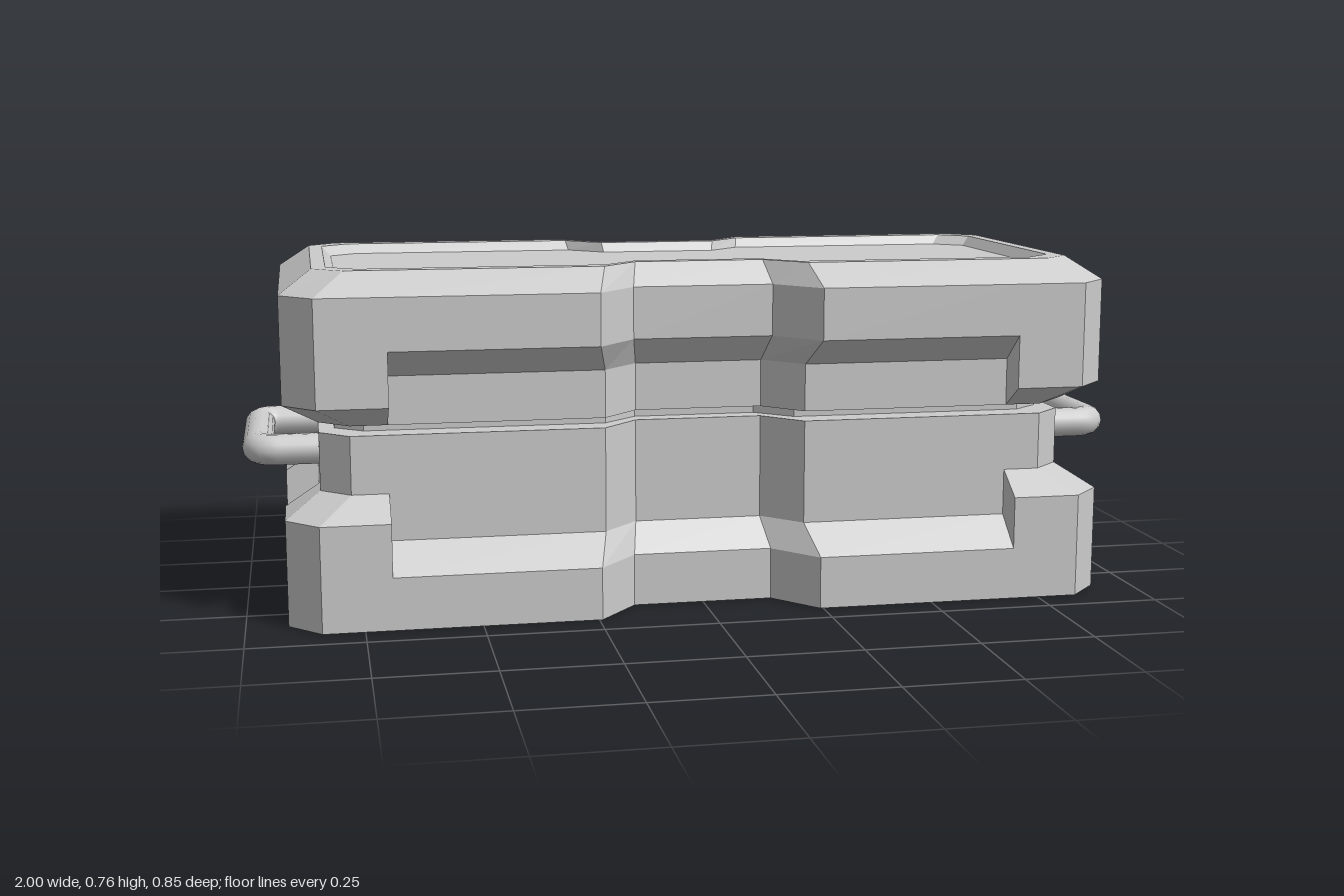
import * as THREE from 'three';

const metal = new THREE.MeshStandardMaterial({ color: 0xcccccc, flatShading: true });
const smooth = new THREE.MeshStandardMaterial({ color: 0xcccccc });

// One quarter of the outline: x, z, inside a notch?, axis kept fixed (notch edges)
const quarter = [
  [0.91, 0.2, true, 'z'], [0.91, 0.2, false, 'z'],
  [0.91, 0.35, false], [0.84, 0.425, false],
  [0.69, 0.425, false, 'x'], [0.69, 0.425, true, 'x'],
  [0.243, 0.425, true], [0.155, 0.32, true],
];

// Full outline, mirrored into four quarters
function outline() {
  const columns = [];
  for (const [sx, sz] of [[1, 1], [-1, 1], [-1, -1], [1, -1]]) {
    const part = quarter.map(([x, z, notched, fixed]) => ({ x: x * sx, z: z * sz, notched, fixed }));
    columns.push(...(sx * sz > 0 ? part : part.reverse()));
  }
  return columns;
}

// Profile rows run bottom to top: [x scale, z scale, y]; a zero scale closes the shape
function loft(name, plain, notched = plain) {
  const columns = outline().map((c) => (c.notched ? notched : plain).map(([sx, sz, y]) =>
    new THREE.Vector3(
      c.x * (c.fixed === 'x' && sx ? 1 : sx), y,
      c.z * (c.fixed === 'z' && sz ? 1 : sz))));
  const positions = [];
  const normal = new THREE.Vector3();
  const addTriangle = (a, b, c) => {
    THREE.Triangle.getNormal(a, b, c, normal);
    if (normal.lengthSq() > 0.5) for (const p of [a, b, c]) positions.push(p.x, p.y, p.z);
  };
  columns.forEach((a, i) => {
    const b = columns[(i + 1) % columns.length];
    for (let j = 0; j < a.length - 1; j++) {
      addTriangle(a[j], a[j + 1], b[j]);
      addTriangle(a[j + 1], b[j + 1], b[j]);
    }
  });
  const geometry = new THREE.BufferGeometry();
  geometry.setAttribute('position', new THREE.Float32BufferAttribute(positions, 3));
  geometry.computeVertexNormals();
  const mesh = new THREE.Mesh(geometry, metal);
  mesh.name = name;
  return mesh;
}

// Bent bar handle on one end
function handle(name, turn) {
  const r = 0.034, x = 1 - r, z = 0.191, bend = 0.045;
  const p = (px, pz) => new THREE.Vector3(px, 0.356, pz);
  const path = new THREE.CurvePath();
  path.add(new THREE.LineCurve3(p(0.8, -z), p(x - bend, -z)));
  path.add(new THREE.QuadraticBezierCurve3(p(x - bend, -z), p(x, -z), p(x, -z + bend)));
  path.add(new THREE.LineCurve3(p(x, -z + bend), p(x, z - bend)));
  path.add(new THREE.QuadraticBezierCurve3(p(x, z - bend), p(x, z), p(x - bend, z)));
  path.add(new THREE.LineCurve3(p(x - bend, z), p(0.8, z)));
  const mesh = new THREE.Mesh(new THREE.TubeGeometry(path, 60, r, 14), smooth);
  mesh.name = name;
  mesh.rotation.y = turn;
  return mesh;
}

export function createModel() {
  const group = new THREE.Group();
  group.name = 'crate';
  const inner = [0.917, 0.8235];
  const rim = [[0.923, 0.847, 0.76], [0.89, 0.757, 0.76], [0.868, 0.715, 0.738], [0, 0, 0.738]];

  // Base with sloped notches on every side
  group.add(loft('base',
    [[0, 0, 0], [1, 1, 0], [1, 1, 0.231], [...inner, 0.281], [...inner, 0.408], [0, 0, 0.408]],
    [[0, 0, 0], [1, 1, 0], [1, 1, 0.115], [...inner, 0.178], [...inner, 0.408], [0, 0, 0.408]]));

  // Recessed seam between base and lid
  group.add(loft('seam', [[0.88, 0.68, 0.4], [0.88, 0.68, 0.44]]));

  // Lid with matching notches, bevelled rim and sunken top panel
  group.add(loft('lid',
    [[0, 0, 0.43], [...inner, 0.43], [...inner, 0.43], [1, 1, 0.478], [1, 1, 0.71], ...rim],
    [[0, 0, 0.43], [...inner, 0.43], [...inner, 0.535], [1, 1, 0.596], [1, 1, 0.71], ...rim]));

  group.add(handle('leftHandle', 0), handle('rightHandle', Math.PI));
  return group;
}
